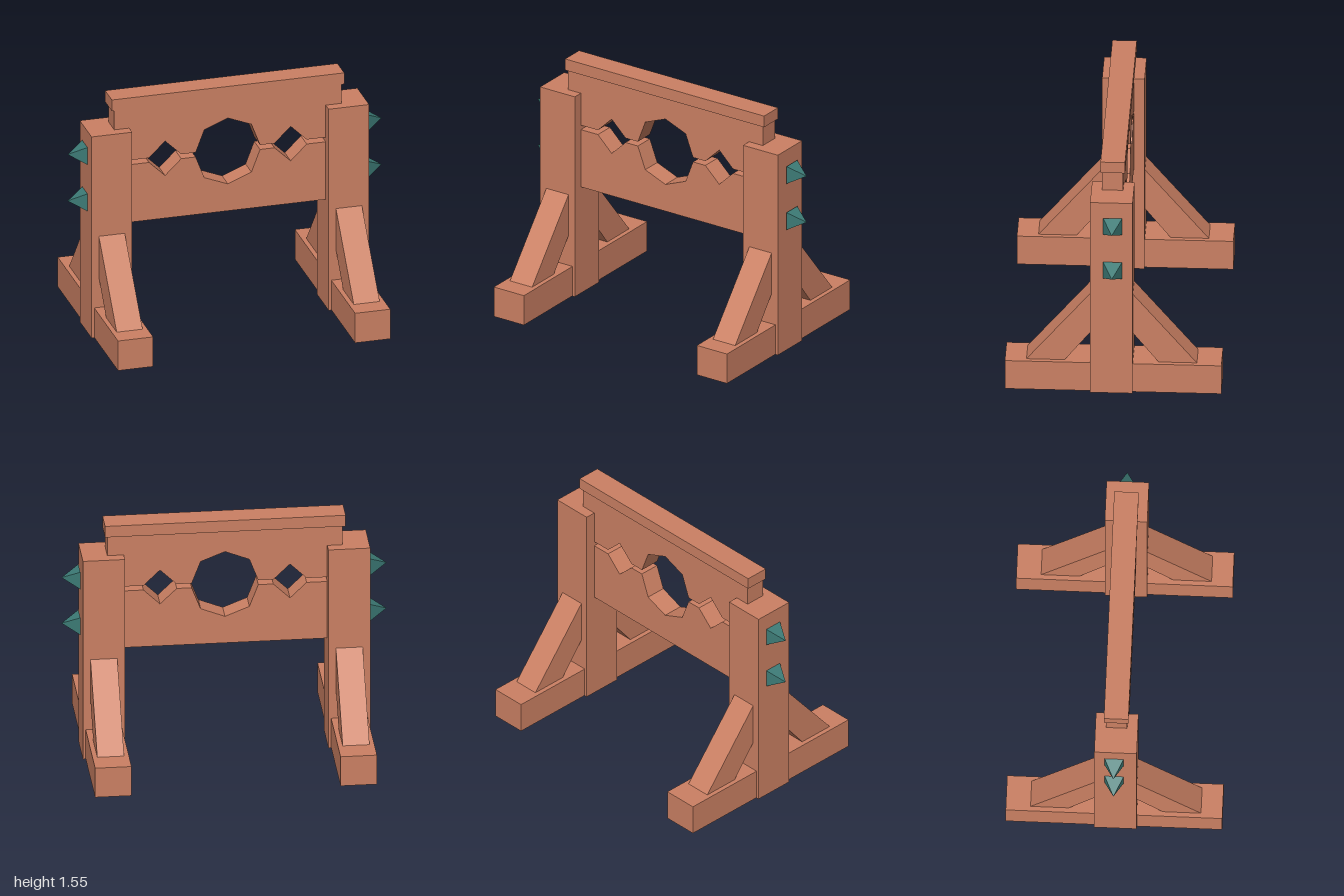
import * as THREE from 'three';

const wood = new THREE.MeshStandardMaterial({ color: 0xcb8063 });
wood.name = 'wood';
const metal = new THREE.MeshStandardMaterial({ color: 0x3c7a75 });
metal.name = 'spikeMetal';

function add(parent, name, geometry, material = wood) {
  const mesh = new THREE.Mesh(geometry, material);
  mesh.name = name;
  parent.add(mesh);
  return mesh;
}

// Box given by its extents on each axis
function box(x0, x1, y0, y1, z0, z1) {
  return new THREE.BoxGeometry(x1 - x0, y1 - y0, z1 - z0)
    .translate((x0 + x1) / 2, (y0 + y1) / 2, (z0 + z1) / 2);
}

function extrude(points, depth) {
  const shape = new THREE.Shape(points.map(([x, y]) => new THREE.Vector2(x, y)));
  return new THREE.ExtrudeGeometry(shape, { depth, bevelEnabled: false })
    .translate(0, 0, -depth / 2);
}

// Board whose one edge is cut by half of the neck hole and two wrist holes
function board(edgeY, farY, dir) {
  const half = [[0, 0.205], [0.15, 0.145], [0.205, 0], [0.297, 0], [0.4, 0.1], [0.502, 0], [0.724, 0]];
  const right = half.map(([x, d]) => [x, edgeY + dir * d]);
  const left = right.slice(1).reverse().map(([x, y]) => [-x, y]);
  return extrude([...left, ...right, [0.724, farY], [-0.724, farY]], 0.13).translate(0, 0, 0.01);
}

// Slanted brace: side profile in (z, y), extruded across x
function brace(dir) {
  const profile = [[0.13, 0.675], [0.522, 0.2], [0.287, 0.2], [0.13, 0.4]];
  return extrude(profile.map(([z, y]) => [0.01 + dir * z, y]), 0.165).rotateY(-Math.PI / 2);
}

// Four-sided spike pointing outward along x
function spike(dir) {
  const geometry = new THREE.ConeGeometry(0.058 * Math.SQRT2, 0.11, 4)
    .rotateY(Math.PI / 4)
    .rotateZ(-dir * Math.PI / 2)
    .toNonIndexed();
  geometry.computeVertexNormals();
  return geometry;
}

export function createModel() {
  const model = new THREE.Group();
  model.name = 'pillory';

  // Split board and its cap
  add(model, 'lowerBoard', board(1.1, 0.715, -1));
  add(model, 'upperBoard', board(1.13, 1.475, 1));
  add(model, 'capBeam', box(-0.741, 0.739, 1.475, 1.55, -0.067, 0.083));

  // Side supports
  for (const [side, dir] of [['left', 1], ['right', -1]]) {
    const support = new THREE.Group();
    support.name = side + 'Support';
    support.position.x = dir * 0.755 - 0.003;
    model.add(support);

    add(support, 'post', box(-0.129, 0.129, 0, 1.345, -0.12, 0.14));
    add(support, 'foot', box(-0.112, 0.112, 0.002, 0.2, -0.663, 0.663));
    add(support, 'frontBrace', brace(1));
    add(support, 'backBrace', brace(-1));

    // Spikes on the outer face
    for (const y of [1.183, 0.873]) {
      add(model, side + 'Spike', spike(dir), metal).position.set(dir * 0.945, y, 0.002);
    }
  }
  return model;
}
